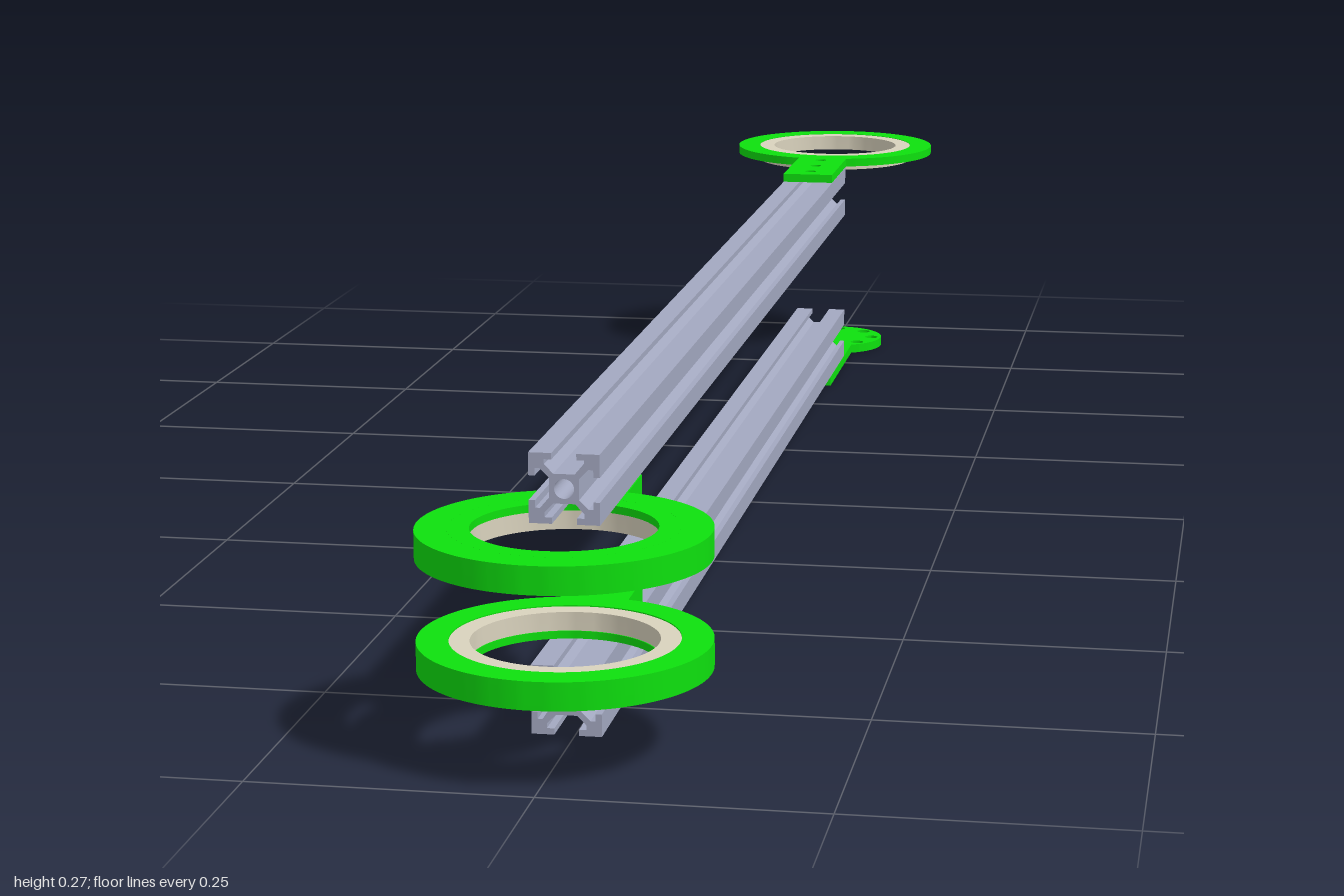
import * as THREE from 'three';
import { toCreasedNormals } from 'three/addons/utils/BufferGeometryUtils.js';

const green = new THREE.MeshStandardMaterial({ color: 0x0ee00e });
const steel = new THREE.MeshStandardMaterial({ color: 0xa3a8c0 });
const ivory = new THREE.MeshStandardMaterial({ color: 0xd9d2bd });

const END_Z = 0.871;      // distance of both pivot axes from the middle
const TAB_HALF = 0.031;   // half width of tabs and rails
const RING_R = 0.128, SEAT_R = 0.1, BORE_R = 0.081;

function addMesh(parent, name, geometry, material, y = 0) {
  const mesh = new THREE.Mesh(geometry, material);
  mesh.name = name;
  mesh.position.y = y;
  parent.add(mesh);
  return mesh;
}

// Round plate with a tab pointing to -z; holes are [x, distance along tab, radius]
function tabPlate(radius, tabLength, height, holes) {
  const a = Math.acos(TAB_HALF / radius);
  const shape = new THREE.Shape();
  shape.moveTo(TAB_HALF, tabLength);
  shape.lineTo(-TAB_HALF, tabLength);
  shape.absarc(0, 0, radius, Math.PI - a, Math.PI * 2 + a, false);
  shape.closePath();
  for (const [x, y, r] of holes) {
    shape.holes.push(new THREE.Path().absarc(x, y, r, 0, Math.PI * 2, true));
  }
  const geo = new THREE.ExtrudeGeometry(shape, { depth: height, bevelEnabled: false, curveSegments: 48 });
  geo.rotateX(-Math.PI / 2);
  return toCreasedNormals(geo, 0.6);
}

// Flat ring with a rectangular section
function ring(inner, outer, height) {
  const pts = [[inner, 0], [outer, 0], [outer, height], [inner, height], [inner, 0]];
  const geo = new THREE.LatheGeometry(pts.map(p => new THREE.Vector2(...p)), 64);
  return toCreasedNormals(geo, 0.6);
}

// T-slot rail: one quadrant of the section, turned four times
function railGeometry() {
  const quadrant = [[4.2, 3], [6.8, 5.6], [8.2, 5.6], [8.2, 3.5], [10, 3.5], [10, 10],
    [3.5, 10], [3.5, 8.2], [5.6, 8.2], [5.6, 6.8], [3, 4.2]];
  const s = TAB_HALF / 10, points = [];
  for (let q = 0; q < 4; q++) {
    for (const [x, y] of quadrant) {
      points.push(new THREE.Vector2(x * s, y * s).rotateAround(new THREE.Vector2(), q * Math.PI / 2));
    }
  }
  const shape = new THREE.Shape(points);
  shape.holes.push(new THREE.Path().absarc(0, 0, 2.8 * s, 0, Math.PI * 2, true));
  const geo = new THREE.ExtrudeGeometry(shape, { depth: 1.61, bevelEnabled: false, curveSegments: 24 });
  geo.translate(0, 0, -0.74);
  return toCreasedNormals(geo, 0.5);
}

export function createModel() {
  const model = new THREE.Group();
  const end = (name, z, turn) => {
    const g = new THREE.Group();
    g.name = name;
    g.position.z = z;
    g.rotation.y = turn;
    model.add(g);
    return g;
  };

  // Two parallel rails
  const rail = railGeometry();
  addMesh(model, 'lowerRail', rail, steel, 0.0425);
  addMesh(model, 'upperRail', rail, steel, 0.2305);

  // Front bearing housings, their seats facing each other
  const housing = tabPlate(RING_R, 0.191, 0.025, [[0, 0, SEAT_R], [0, 0.143, 0.006], [0, 0.171, 0.006]]);
  const lip = ring(BORE_R, SEAT_R, 0.007);
  const shortBearing = ring(BORE_R + 0.001, SEAT_R, 0.017);
  const lower = end('lowerFrontHousing', END_Z, 0);
  addMesh(lower, 'housing', housing, green, 0.0745);
  addMesh(lower, 'housingLip', lip, green, 0.0745);
  addMesh(lower, 'bearing', shortBearing, ivory, 0.0815);
  const upper = end('upperFrontHousing', END_Z, 0);
  addMesh(upper, 'housing', housing, green, 0.173);
  addMesh(upper, 'housingLip', lip, green, 0.191);
  addMesh(upper, 'bearing', shortBearing, ivory, 0.174);

  // Rear ring plate on the upper rail with its bearing
  const tabHoles = [0.14, 0.188, 0.236].map(d => [0, d, 0.007]);
  const rearRing = end('rearRing', -END_Z, Math.PI);
  addMesh(rearRing, 'ringPlate', tabPlate(RING_R, 0.262, 0.01, [[0, 0, SEAT_R], ...tabHoles]), green, 0.262);
  addMesh(rearRing, 'bearing', ring(BORE_R, SEAT_R, 0.018), ivory, 0.2535);

  // Rear disc under the lower rail with a circle of bolt holes
  const boltHoles = Array.from({ length: 8 }, (_, i) => {
    const t = i * Math.PI / 4;
    return [0.051 * Math.cos(t), 0.051 * Math.sin(t), 0.0085];
  });
  const rearDisc = end('rearDisc', -END_Z, Math.PI);
  addMesh(rearDisc, 'discPlate', tabPlate(0.064, 0.262, 0.011, [...boltHoles, ...tabHoles]), green);

  return model;
}
